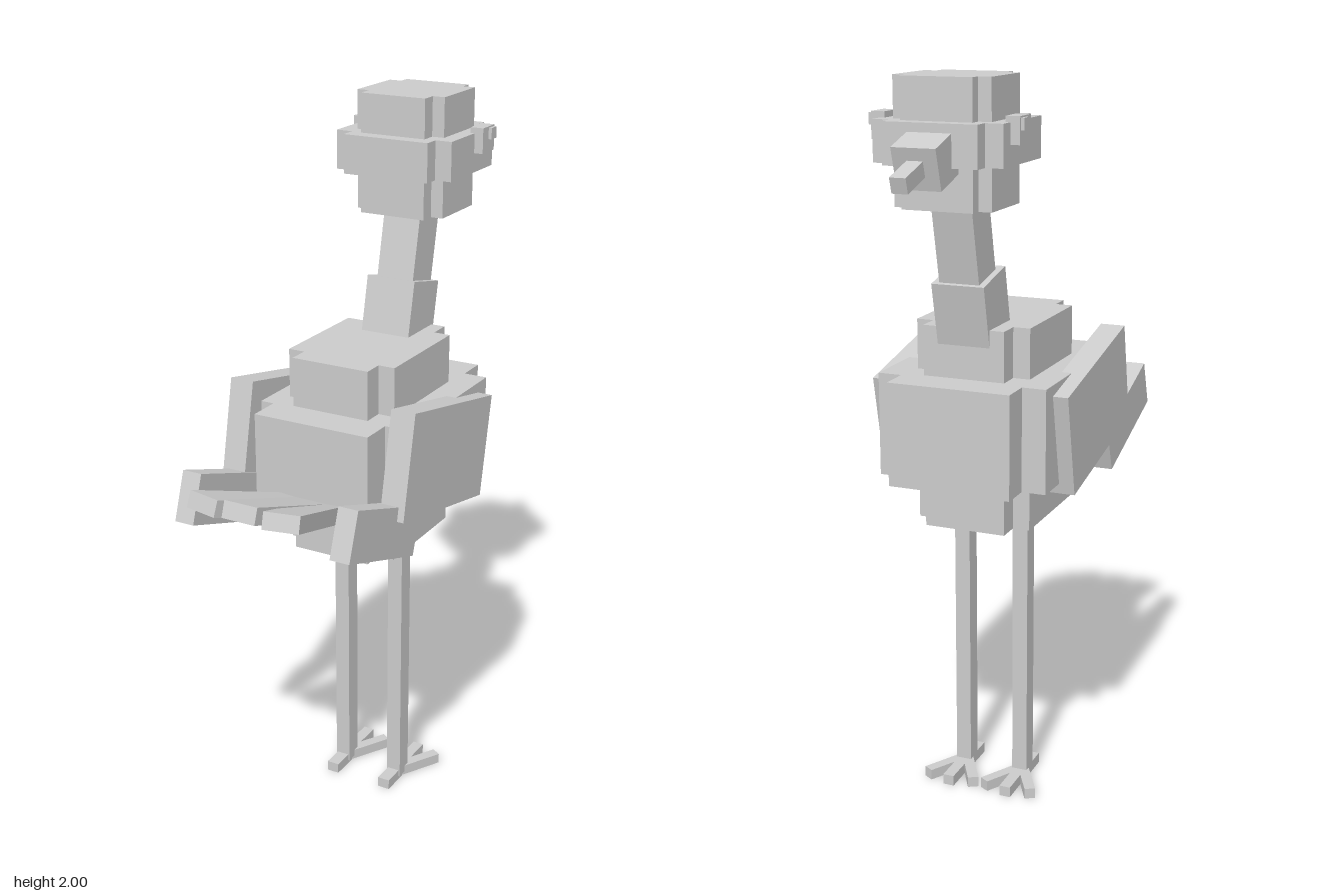
import * as THREE from 'three';

const grey = new THREE.MeshStandardMaterial({ color: 0xcccccc });
grey.name = 'plain grey';

export function createModel() {
  const bird = new THREE.Group();
  bird.name = 'longLeggedBird';

  // upright block given by its x, y and z ranges
  function block(name, [x0, x1], [y0, y1], [z0, z1]) {
    const m = new THREE.Mesh(new THREE.BoxGeometry(x1 - x0, y1 - y0, z1 - z0), grey);
    m.position.set((x0 + x1) / 2, (y0 + y1) / 2, (z0 + z1) / 2);
    m.name = name;
    bird.add(m);
  }

  // slanted block running from point a to point b
  function beam(name, a, b, width, height) {
    const from = new THREE.Vector3(...a), to = new THREE.Vector3(...b);
    const m = new THREE.Mesh(new THREE.BoxGeometry(width, height, from.distanceTo(to)), grey);
    m.position.copy(from).add(to).multiplyScalar(0.5);
    m.lookAt(to);
    m.name = name;
    bird.add(m);
  }

  // two crossed blocks with notched corners
  function notched(name, wide, wideZ, narrow, narrowZ, y) {
    block(name + 'Wide', [-wide, wide], y, wideZ);
    block(name + 'Long', [-narrow, narrow], y, narrowZ);
  }

  // body
  notched('bodyCore', 0.16, [-0.195, 0.122], 0.113, [-0.257, 0.18], [0.81, 1.36]);
  notched('bodyMiddle', 0.236, [-0.277, 0.19], 0.17, [-0.362, 0.282], [0.945, 1.225]);

  // neck
  beam('lowerNeck', [0, 1.24, -0.166], [0, 1.493, -0.222], 0.145, 0.146);
  beam('upperNeck', [0, 1.45, -0.219], [0, 1.74, -0.283], 0.11, 0.11);

  // head
  notched('headCore', 0.13, [-0.377, -0.197], 0.095, [-0.41, -0.154], [1.68, 2]);
  notched('headMiddle', 0.172, [-0.407, -0.158], 0.125, [-0.452, -0.113], [1.79, 1.895]);

  // beak
  beam('beakBase', [0, 1.826, -0.42], [0, 1.794, -0.526], 0.116, 0.107);
  beam('beakTip', [0, 1.803, -0.5], [0, 1.767, -0.62], 0.042, 0.04);

  // tail feathers
  beam('middleTailFeather', [0, 0.96, 0.2], [0, 1.111, 0.616], 0.096, 0.045);

  for (const s of [-1, 1]) {
    const span = (a, b) => (s > 0 ? [a, b] : [-b, -a]);
    beam('sideTailFeather', [s * 0.029, 0.96, 0.2], [s * 0.115, 1.107, 0.609], 0.096, 0.045);

    // eyes
    block('eye', span(0.16, 0.197), [1.842, 1.91], [-0.363, -0.294]);
    block('pupil', span(0.19, 0.206), [1.876, 1.906], [-0.358, -0.328]);

    // wings
    beam('wing', [s * 0.243, 1.056, -0.199], [s * 0.243, 1.152, 0.257], 0.069, 0.285);
    beam('wingTip', [s * 0.231, 0.942, 0.175], [s * 0.231, 1.059, 0.508], 0.056, 0.135);

    // legs and feet
    const x = s * 0.087;
    block('leg', [x - 0.022, x + 0.022], [0.01, 0.83], [-0.076, -0.026]);
    beam('middleToe', [x, 0.015, -0.05], [x, 0.015, -0.188], 0.032, 0.03);
    beam('backToe', [x, 0.015, -0.05], [x, 0.015, 0.035], 0.036, 0.03);
    for (const t of [-1, 1])
      beam('sideToe', [x, 0.015, -0.05], [x + t * 0.07, 0.015, -0.172], 0.03, 0.03);
  }
  return bird;
}
